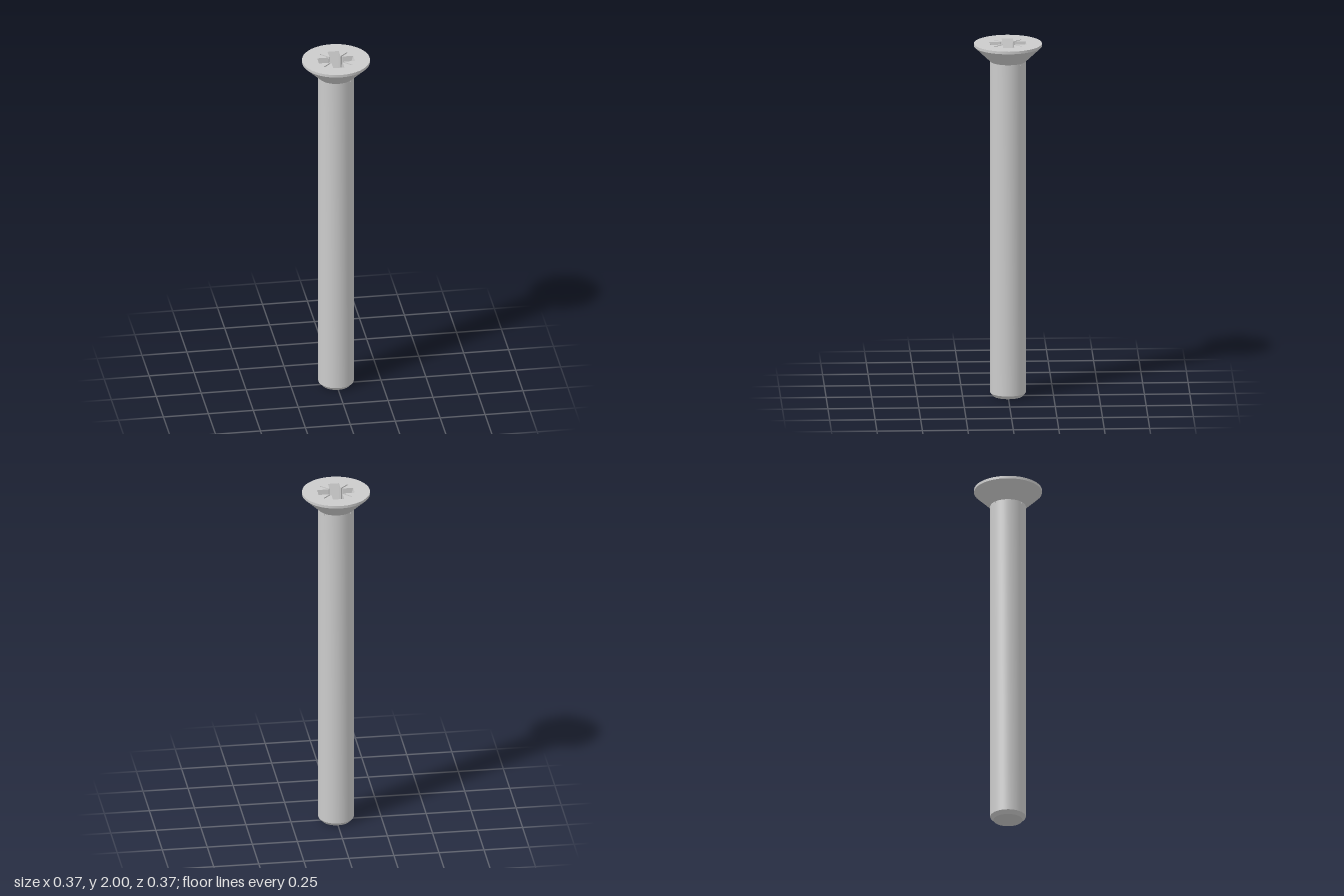
import * as THREE from 'three';
import { toCreasedNormals } from 'three/addons/utils/BufferGeometryUtils.js';

const SEGMENTS = 40;
const TOP = 2, FLOOR = 1.89, PIT = 1.865;
const HEAD_RADIUS = 0.187, PIT_RADIUS = 0.046;

const v2 = (x, y) => new THREE.Vector2(x, y);

const circle = (radius) => Array.from({ length: SEGMENTS }, (_, i) => {
  const a = (i / SEGMENTS) * Math.PI * 2;
  return v2(Math.cos(a) * radius, Math.sin(a) * radius);
});

// Counter-clockwise cross outline with a thin diagonal slot in each inner corner
function crossOutline(reach, half, corner, slotRoot, slotEnd, slotHalf) {
  const k = Math.SQRT1_2;
  const quarter = [
    v2(reach, half), v2(corner, half),
    v2((slotRoot + slotHalf) * k, (slotRoot - slotHalf) * k),
    v2((slotEnd + slotHalf) * k, (slotEnd - slotHalf) * k),
    v2((slotEnd - slotHalf) * k, (slotEnd + slotHalf) * k),
    v2((slotRoot - slotHalf) * k, (slotRoot + slotHalf) * k),
    v2(half, corner), v2(half, reach),
  ];
  const points = [];
  for (let q = 0; q < 4; q++) {
    for (const p of quarter) points.push(p.clone().rotateAround(v2(0, 0), q * Math.PI / 2));
  }
  return points;
}

// Flat horizontal face with a hole, facing up
function plate(outline, hole, y) {
  const shape = new THREE.Shape(outline);
  shape.holes.push(new THREE.Path(hole));
  return new THREE.ShapeGeometry(shape).rotateX(-Math.PI / 2).translate(0, y, 0);
}

// Inward-facing walls between two matching outlines
function walls(upper, lower) {
  const positions = [];
  const n = upper.length;
  for (let i = 0; i < n; i++) {
    const j = (i + 1) % n;
    const a = [upper[i].x, TOP, -upper[i].y], b = [upper[j].x, TOP, -upper[j].y];
    const c = [lower[j].x, FLOOR, -lower[j].y], d = [lower[i].x, FLOOR, -lower[i].y];
    positions.push(...a, ...b, ...c, ...a, ...c, ...d);
  }
  const geometry = new THREE.BufferGeometry();
  geometry.setAttribute('position', new THREE.Float32BufferAttribute(positions, 3));
  geometry.computeVertexNormals();
  return geometry;
}

const turned = (profile) => toCreasedNormals(
  new THREE.LatheGeometry(profile.map(([r, y]) => v2(r, y)), SEGMENTS), Math.PI / 7);

export function createModel() {
  const group = new THREE.Group();
  const material = new THREE.MeshStandardMaterial({ color: 0xcccccc });
  const add = (name, geometry) => {
    const mesh = new THREE.Mesh(geometry, material);
    mesh.name = name;
    group.add(mesh);
  };

  // Shank with chamfered tip
  add('shank', turned([[0, 0], [0.08, 0], [0.098, 0.02], [0.098, 1.9]]));

  // Countersunk head with a narrow straight rim
  add('head', turned([[0.098, 1.9], [HEAD_RADIUS, 1.985], [HEAD_RADIUS, TOP]]));

  // Tapered cross-shaped drive recess
  const upper = crossOutline(0.1, 0.031, 0.04, 0.05, 0.109, 0.004);
  const lower = crossOutline(0.066, 0.025, 0.04, 0.0475, 0.099, 0.003);
  add('headTop', plate(circle(HEAD_RADIUS), upper, TOP));
  add('recessWalls', walls(upper, lower));
  add('recessFloor', plate(lower, circle(PIT_RADIUS), FLOOR));

  // Shallow cone at the centre of the recess
  add('recessPit', turned([[PIT_RADIUS, FLOOR], [0, PIT]]));

  return group;
}
